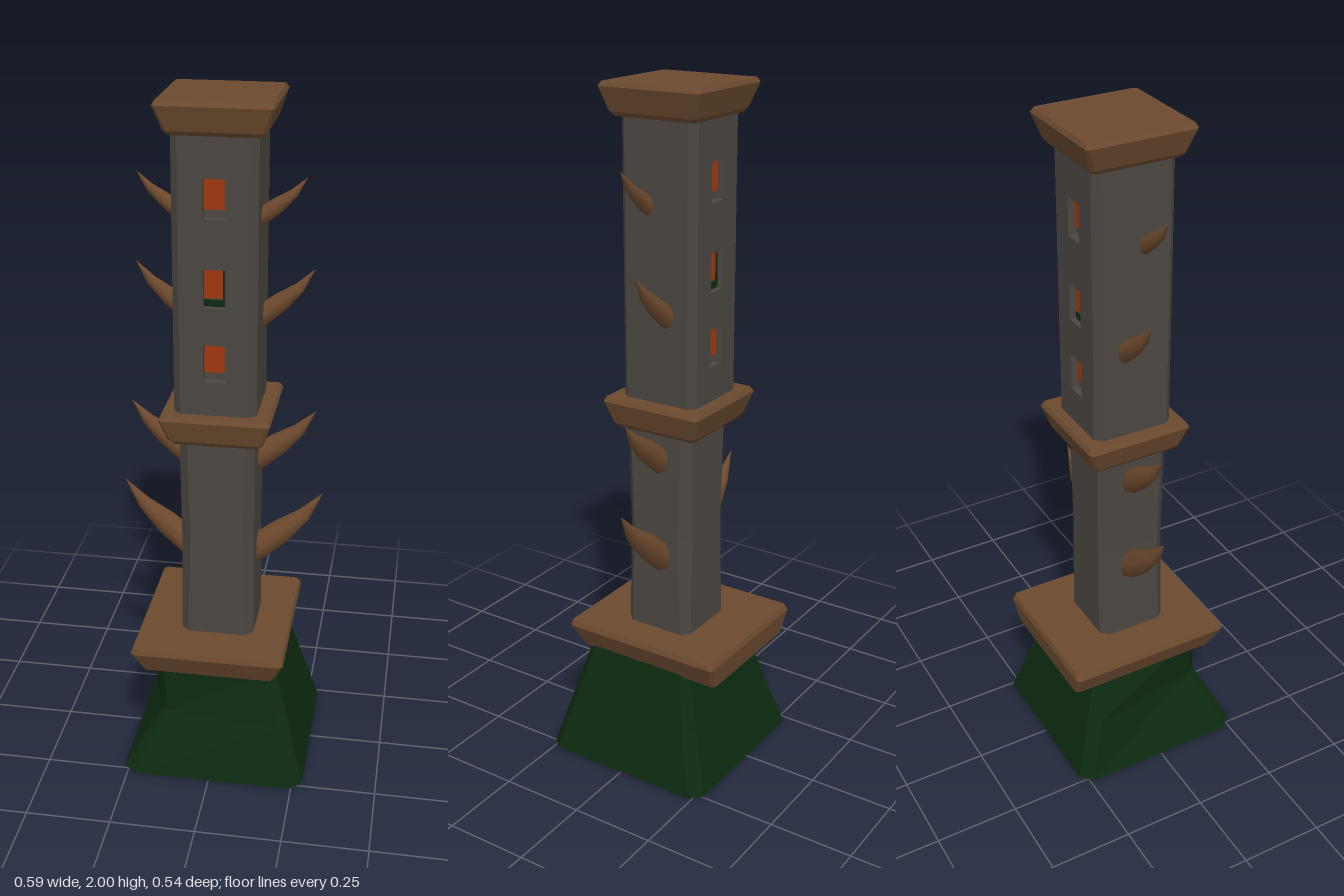
import * as THREE from 'three';

const stone = new THREE.MeshStandardMaterial({ color: 0x4b4641 });
const wood = new THREE.MeshStandardMaterial({ color: 0x6b4a2f });
const horn = new THREE.MeshStandardMaterial({ color: 0x6e4a2e });
const green = new THREE.MeshStandardMaterial({ color: 0x0d2a11 });
const glow = new THREE.MeshStandardMaterial({ color: 0xa03810 });
stone.name = 'stone';
wood.name = 'brown wood';
horn.name = 'brown horn';
green.name = 'dark green';
glow.name = 'window orange';

// Joins equal-length rings of [x, y, z] points into a closed solid
function loft(rings, smooth = false) {
  const n = rings[0].length, last = (rings.length - 1) * n, index = [];
  for (let r = 0; r < last; r += n) {
    for (let i = 0; i < n; i++) {
      const j = (i + 1) % n;
      index.push(r + i, r + j, r + n + j, r + i, r + n + j, r + n + i);
    }
  }
  for (let i = 1; i < n - 1; i++) {
    index.push(0, i + 1, i, last, last + i, last + i + 1);
  }
  let geo = new THREE.BufferGeometry();
  geo.setAttribute('position', new THREE.Float32BufferAttribute(rings.flat(2), 3));
  geo.setIndex(index);
  if (!smooth) geo = geo.toNonIndexed();
  geo.computeVertexNormals();
  return geo;
}

// Rectangle with cut corners, seen as one horizontal ring
function ring(y, x0, x1, z0, z1, c) {
  return [
    [x0 + c, z1], [x1 - c, z1], [x1, z1 - c], [x1, z0 + c],
    [x1 - c, z0], [x0 + c, z0], [x0, z0 + c], [x0, z1 - c],
  ].map(([x, z]) => [x, y, z]);
}

function add(parent, name, geo, mat, x = 0, y = 0, z = 0) {
  const mesh = new THREE.Mesh(geo, mat);
  mesh.name = name;
  mesh.position.set(x, y, z);
  parent.add(mesh);
  return mesh;
}

// Ledge that flares upward and has a small bevel on its top edge
function collar(y0, y1) {
  return loft([
    ring(y0, -0.13, 0.122, -0.148, 0.108, 0.01),
    ring(y0 + 0.012, -0.14, 0.132, -0.158, 0.118, 0.01),
    ring(y1 - 0.012, -0.163, 0.153, -0.18, 0.136, 0.008),
    ring(y1, -0.156, 0.146, -0.173, 0.129, 0.008),
  ]);
}

// Upward-curving thorn growing along +x from the origin
function thorn(dx, dy, radius) {
  const path = [[-0.15, -0.1, 1], [0, 0, 1], [0.36, 0.3, 0.9], [0.72, 0.62, 0.52], [1, 1, 0.01]];
  const rings = path.map(([u, v, k], i) => {
    const a = path[Math.max(i - 1, 0)], b = path[Math.min(i + 1, path.length - 1)];
    const t = new THREE.Vector2((b[0] - a[0]) * dx, (b[1] - a[1]) * dy).normalize();
    return Array.from({ length: 8 }, (_, s) => {
      const ang = (s / 8) * Math.PI * 2, r = radius * k, c = Math.cos(ang) * r;
      return [u * dx - t.y * c, v * dy + t.x * c, Math.sin(ang) * r * 0.92];
    });
  });
  return loft(rings, true);
}

export function createModel() {
  const model = new THREE.Group();
  model.name = 'thornTower';

  // Flared foot with one corner dented at mid height
  const dented = ring(0.18, -0.217, 0.231, -0.217, 0.221, 0.03);
  dented[0] = [-0.14, 0.18, 0.185];
  dented[7] = [-0.155, 0.18, 0.165];
  add(model, 'foot', loft([
    ring(0, -0.265, 0.28, -0.272, 0.27, 0.035),
    dented,
    ring(0.34, -0.17, 0.185, -0.17, 0.178, 0.022),
  ]), green);

  // Wide ledge on the foot, upright at the back
  add(model, 'footLedge', loft([
    ring(0.33, -0.21, 0.182, -0.265, 0.198, 0.01),
    ring(0.4, -0.24, 0.213, -0.274, 0.231, 0.01),
    ring(0.415, -0.234, 0.207, -0.268, 0.225, 0.01),
  ]), wood);

  // Lower shaft
  add(model, 'lowerShaft', loft([
    ring(0.4, -0.112, 0.105, -0.12, 0.095, 0.022),
    ring(0.72, -0.11, 0.103, -0.119, 0.094, 0.03),
    ring(1.06, -0.113, 0.105, -0.121, 0.096, 0.025),
  ]), stone);

  add(model, 'middleCollar', collar(1.04, 1.13), wood);
  add(model, 'topCap', collar(1.91, 2), wood);

  // Upper shaft: a core grooved front and back, filled with pierced panels
  const upper = new THREE.Group();
  upper.name = 'upperShaft';
  upper.position.set(-0.008, 1.12, -0.021);
  model.add(upper);
  const height = 0.8, w = 0.117, d = 0.12, c = 0.02, g = 0.09, floor = 0.095;
  const half = [[w, -d + c], [w, d - c], [w - c, d], [g, d], [g, floor], [-g, floor], [-g, d], [-w + c, d]];
  const outline = [...half, ...half.map(([x, y]) => [-x, -y])].map(p => new THREE.Vector2(...p));
  const core = new THREE.ExtrudeGeometry(new THREE.Shape(outline), { depth: height, bevelEnabled: false });
  add(upper, 'shaftCore', core.rotateX(-Math.PI / 2), stone);

  const rect = (path, x, y0, y1) =>
    path.moveTo(-x, y0).lineTo(x, y0).lineTo(x, y1).lineTo(-x, y1).closePath();
  const windows = [0.11, 0.325, 0.57];
  const panel = rect(new THREE.Shape(), g, 0, height);
  for (const y of windows) panel.holes.push(rect(new THREE.Path(), 0.03, y, y + 0.108));
  const panelGeo = new THREE.ExtrudeGeometry(panel, { depth: d - floor, bevelEnabled: false });

  for (const turn of [0, Math.PI]) {
    const side = new THREE.Group();
    side.name = turn ? 'backWindows' : 'frontWindows';
    side.rotation.y = turn;
    upper.add(side);
    add(side, 'piercedPanel', panelGeo, stone, 0, 0, floor);
    windows.forEach((y, i) => {
      add(side, 'windowGlow', new THREE.BoxGeometry(0.06, 0.085, 0.006), glow, 0, y + 0.065, floor + 0.003);
      if (i === 1) {
        add(side, 'windowMoss', new THREE.BoxGeometry(0.06, 0.018, 0.008), green, 0, y + 0.009, floor + 0.004);
        add(side, 'windowMoss', new THREE.BoxGeometry(0.008, 0.09, 0.008), green, 0.026, y + 0.06, floor + 0.004);
      }
    });
  }

  // Thorns: [height, z, reach, rise, radius], repeated on both sides
  const thorns = [
    [0.657, -0.024, 0.19, 0.193, 0.042],
    [0.957, -0.022, 0.163, 0.153, 0.037],
    [1.38, -0.05, 0.147, 0.142, 0.03],
    [1.677, 0.008, 0.126, 0.113, 0.024],
  ];
  for (const [y, z, reach, rise, radius] of thorns) {
    const geo = thorn(reach, rise, radius);
    add(model, 'leftThorn', geo, horn, 0.102, y, z);
    add(model, 'rightThorn', geo, horn, -0.106, y, z).rotation.y = Math.PI;
  }
  return model;
}
